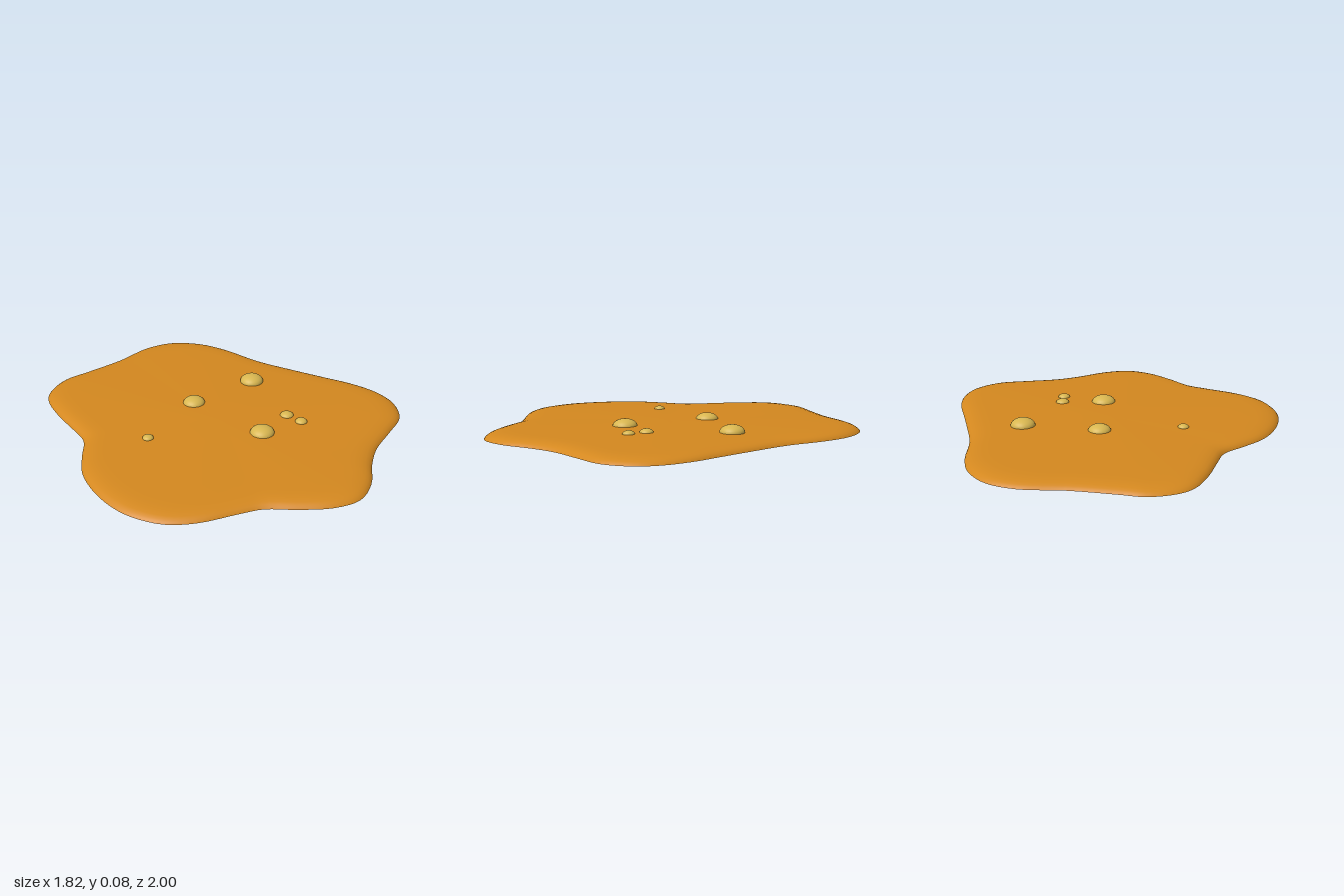
import * as THREE from 'three';

// Puddle outline as x, z pairs, starting at the back
const OUTLINE = [
  -0.26, -1.0, -0.13, -0.985, 0.12, -0.96, 0.345, -0.967, 0.505, -0.91, 0.62, -0.775, 0.675, -0.605,
  0.705, -0.36, 0.77, -0.13, 0.833, 0.07, 0.886, 0.24, 0.905, 0.4, 0.875, 0.53, 0.77, 0.65,
  0.61, 0.705, 0.425, 0.76, 0.29, 0.835, 0.135, 0.95, -0.015, 0.998, -0.155, 0.95, -0.29, 0.835,
  -0.405, 0.715, -0.525, 0.655, -0.71, 0.57, -0.83, 0.465, -0.895, 0.32, -0.91, 0.2, -0.89, 0.03,
  -0.82, -0.155, -0.71, -0.29, -0.615, -0.395, -0.58, -0.525, -0.54, -0.71, -0.475, -0.88, -0.395, -0.955,
];

// Cross-section from rim to middle: [scale of outline, height]
const SECTION = [
  [1, 0], [0.993, 0.008], [0.98, 0.017], [0.96, 0.024], [0.93, 0.03], [0.89, 0.034],
  [0.83, 0.036], [0.7, 0.038], [0.5, 0.041], [0.25, 0.044],
];

// Bubbles: x, z, radius
const BUBBLES = [
  [0.04, -0.225, 0.061], [0.455, -0.175, 0.066], [-0.395, -0.125, 0.03],
  [0.07, 0.265, 0.066], [0.3, 0.235, 0.037], [0.305, 0.335, 0.033],
];

// Thin domed skin, open underneath: the outline shrunk ring by ring towards the middle
function puddleGeometry() {
  const points = [];
  for (let i = 0; i < OUTLINE.length; i += 2) {
    points.push(new THREE.Vector3(OUTLINE[i], 0, OUTLINE[i + 1]));
  }
  const curve = new THREE.CatmullRomCurve3(points, true, 'centripetal');
  const n = 140;
  const rim = curve.getPoints(n).slice(0, n);
  const positions = [];
  const index = [];
  SECTION.forEach(([s, y]) => rim.forEach((p) => positions.push(p.x * s, y, p.z * s)));
  positions.push(0, 0.046, 0);
  const centre = SECTION.length * n;
  for (let i = 0; i < n; i++) {
    const j = (i + 1) % n;
    for (let r = 0; r < SECTION.length - 1; r++) {
      const a = r * n, b = a + n;
      index.push(a + i, b + i, a + j, a + j, b + i, b + j);
    }
    const last = centre - n;
    index.push(last + i, centre, last + j);
  }
  const geometry = new THREE.BufferGeometry();
  geometry.setAttribute('position', new THREE.Float32BufferAttribute(positions, 3));
  geometry.setIndex(index);
  geometry.computeVertexNormals();
  return geometry;
}

export function createModel() {
  const group = new THREE.Group();
  group.name = 'bubblingPuddle';

  const amber = new THREE.MeshStandardMaterial({ color: 0xd4881f, side: THREE.DoubleSide });
  amber.name = 'amber liquid';
  const gold = new THREE.MeshStandardMaterial({ color: 0xd8b650 });
  gold.name = 'pale gold';

  const puddle = new THREE.Mesh(puddleGeometry(), amber);
  puddle.name = 'puddle';
  group.add(puddle);

  // Flattened bubbles set into the skin
  const sphere = new THREE.SphereGeometry(1, 28, 18);
  BUBBLES.forEach(([x, z, r], i) => {
    const bubble = new THREE.Mesh(sphere, gold);
    bubble.name = `bubble${i + 1}`;
    bubble.position.set(x, 0.04, z);
    bubble.scale.set(r, r * 0.6, r);
    group.add(bubble);
  });

  return group;
}
